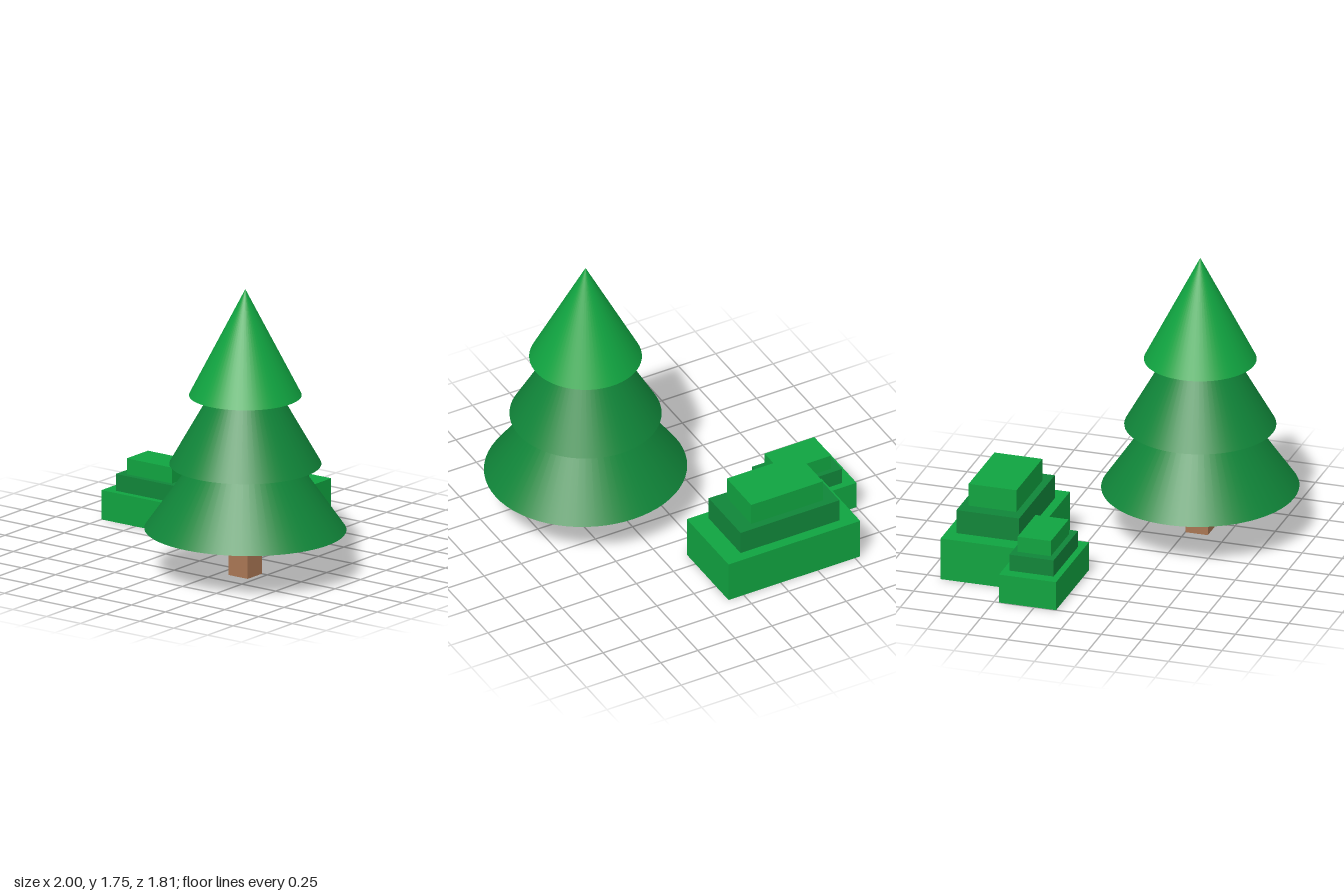
import * as THREE from 'three';

const mat = (name, color) => {
  const m = new THREE.MeshStandardMaterial({ color });
  m.name = name;
  return m;
};

export function createModel() {
  const model = new THREE.Group();
  const light = mat('light green', 0x10a340);
  const dark = mat('dark green', 0x108539);
  const brown = mat('brown', 0xa87653);

  // Box given by its extents on each axis
  function block(parent, name, material, [x0, x1], [y0, y1], [z0, z1]) {
    const mesh = new THREE.Mesh(new THREE.BoxGeometry(x1 - x0, y1 - y0, z1 - z0), material);
    mesh.position.set((x0 + x1) / 2, (y0 + y1) / 2, (z0 + z1) / 2);
    mesh.name = name;
    parent.add(mesh);
  }

  // Tree: square trunk and three overlapping cones
  const tree = new THREE.Group();
  tree.name = 'tree';
  tree.position.set(0.39, 0, 0.32);
  model.add(tree);
  block(tree, 'trunk', brown, [-0.07, 0.07], [0, 0.3], [-0.07, 0.07]);
  const cones = [
    ['lowerFoliage', dark, 0.605, 0.583, 0.28, 1.13],
    ['middleFoliage', dark, 0.449, 0.449, 0.68, 1.47],
    ['upperFoliage', light, 0.333, 0.333, 1.1, 1.75],
  ];
  for (const [name, material, rx, rz, y0, y1] of cones) {
    const cone = new THREE.Mesh(new THREE.ConeGeometry(1, y1 - y0, 64), material);
    cone.scale.set(rx, 1, rz);
    cone.position.y = (y0 + y1) / 2;
    cone.name = name;
    tree.add(cone);
  }

  // Bushes: stepped stacks of three blocks
  const bushes = {
    largeBush: [
      [[-0.785, 0.102], [0, 0.262], [-0.904, -0.395]],
      [[-0.68, -0.015], [0.262, 0.41], [-0.84, -0.45]],
      [[-0.595, -0.112], [0.41, 0.55], [-0.793, -0.495]],
    ],
    smallBush: [
      [[-1, -0.385], [0, 0.18], [-0.47, -0.115]],
      [[-0.925, -0.47], [0.18, 0.283], [-0.43, -0.155]],
      [[-0.87, -0.535], [0.283, 0.38], [-0.397, -0.19]],
    ],
  };
  for (const [name, tiers] of Object.entries(bushes)) {
    const bush = new THREE.Group();
    bush.name = name;
    tiers.forEach((t, i) => block(bush, ['baseTier', 'middleTier', 'topTier'][i], i === 1 ? dark : light, ...t));
    model.add(bush);
  }
  return model;
}
